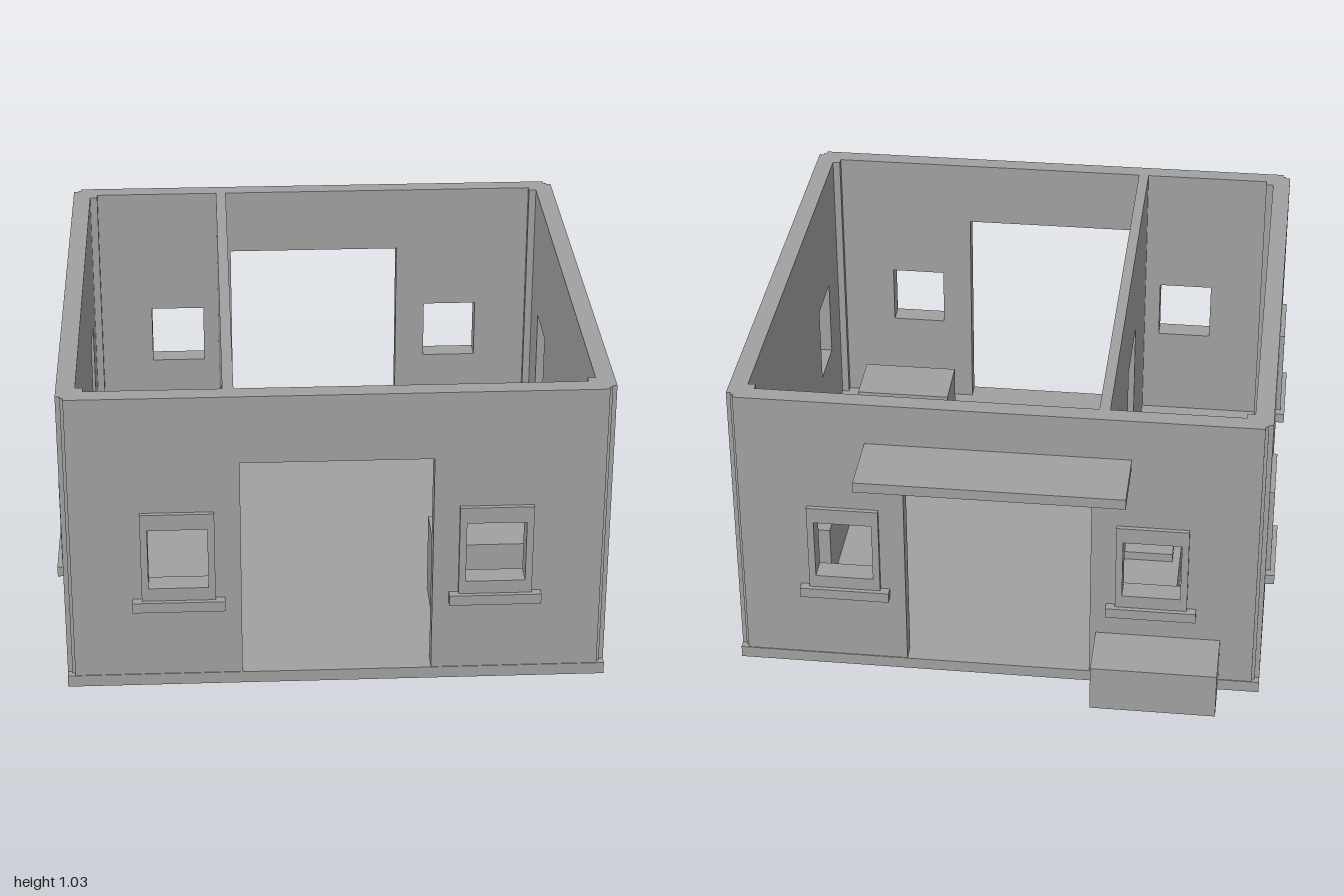
import * as THREE from 'three';

const plaster = new THREE.MeshStandardMaterial({ color: 0xa0a0a0 });
plaster.name = 'grey plaster';

const CZ = 0.0975;            // centre of the house in z
const FLOOR = 0.04, TOP = 1.03;
const INNER = 0.81, THICK = 0.06;
const WINDOWS = [-0.505, 0.505];

function add(parent, name, geometry) {
  const mesh = new THREE.Mesh(geometry, plaster);
  mesh.name = name;
  parent.add(mesh);
  return mesh;
}

// Box given by its lower and upper limits
function box(parent, name, x0, x1, y0, y1, z0, z1) {
  const mesh = add(parent, name, new THREE.BoxGeometry(x1 - x0, y1 - y0, z1 - z0));
  mesh.position.set((x0 + x1) / 2, (y0 + y1) / 2, (z0 + z1) / 2);
  return mesh;
}

function rect(Type, x0, x1, y0, y1) {
  return new Type([[x0, y0], [x1, y0], [x1, y1], [x0, y1]].map(p => new THREE.Vector2(...p)));
}

function extrude(shape, depth) {
  return new THREE.ExtrudeGeometry(shape, { depth, bevelEnabled: false });
}

// Wall outline with a doorway cut up from the floor
function doorShape(x0, x1, d0, d1, head) {
  return new THREE.Shape([
    [x0, FLOOR], [d0, FLOOR], [d0, head], [d1, head], [d1, FLOOR],
    [x1, FLOOR], [x1, TOP], [x0, TOP],
  ].map(p => new THREE.Vector2(...p)));
}

// One outer wall with two windows; local +z points outdoors
function buildWall(name, hasDoor) {
  const wall = new THREE.Group();
  wall.name = name;
  const half = 0.845;
  const shape = hasDoor
    ? doorShape(-half, half, -0.305, 0.305, 0.8)
    : rect(THREE.Shape, -half, half, FLOOR, TOP);
  const [w, y0, y1] = hasDoor ? [0.095, 0.365, 0.575] : [0.1, 0.33, 0.61];
  for (const x of WINDOWS) {
    shape.holes.push(rect(THREE.Path, x - w, x + w, y0, y1));
    // Raised surround and sill
    const frame = rect(THREE.Shape, x - 0.1175, x + 0.1175, 0.32, 0.63);
    frame.holes.push(rect(THREE.Path, x - w, x + w, y0, y1));
    add(wall, 'windowFrame', extrude(frame, 0.015)).position.z = THICK;
    box(wall, 'windowSill', x - 0.1475, x + 0.1475, 0.285, 0.32, THICK, THICK + 0.03);
  }
  add(wall, 'wallPanel', extrude(shape, THICK));
  return wall;
}

export function createModel() {
  const house = new THREE.Group();
  house.name = 'house';

  box(house, 'floorSlab', -0.87, 0.87, 0, FLOOR, CZ - 0.8725, CZ + 0.8725);

  // Four outer walls and their corner posts, turned about the house centre
  ['frontWall', 'rightWall', 'backWall', 'leftWall'].forEach((name, i) => {
    const side = new THREE.Group();
    side.name = name + 'Side';
    const wall = buildWall(name, i % 2 === 0);
    wall.position.z = INNER;
    side.add(wall);
    box(side, 'cornerPost', 0.785, 0.855, FLOOR, TOP, 0.785, 0.855);
    side.rotation.y = i * Math.PI / 2;
    side.position.z = CZ;
    house.add(side);
  });

  // Inner partition with a doorway (local x runs towards -z)
  const partition = add(house, 'partitionWall',
    extrude(doorShape(-0.91, 0.715, -0.4, -0.09, 0.68), 0.035));
  partition.rotation.y = Math.PI / 2;
  partition.position.x = -0.355;

  // Canopy and bench behind the back door
  box(house, 'canopy', -0.43, 0.425, 0.85, 0.885, -1, -0.77);
  box(house, 'outdoorBench', -0.735, -0.325, FLOOR, 0.2, -0.97, -0.77);

  // Furniture
  box(house, 'bed', -0.575, -0.358, FLOOR, 0.2, -0.71, -0.197);
  box(house, 'pillow', -0.55, -0.385, 0.2, 0.23, -0.345, -0.22);
  box(house, 'sideCabinet', 0.63, 0.81, FLOOR, 0.26, -0.378, 0.08);
  box(house, 'table', 0.335, 0.668, FLOOR, 0.31, 0.45, 0.65);

  return house;
}
